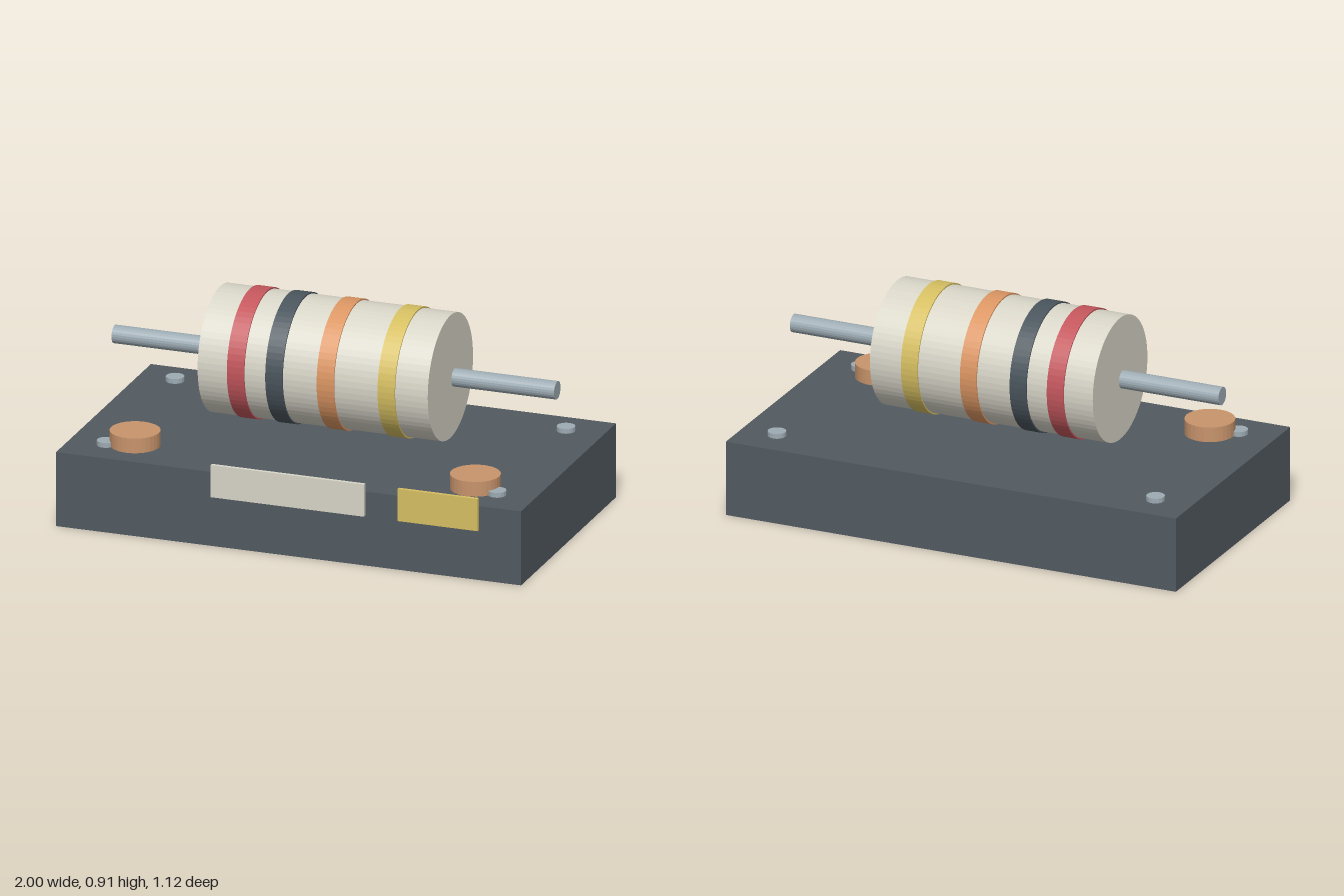
import * as THREE from 'three';

const mat = (name, color) => {
  const m = new THREE.MeshStandardMaterial({ color });
  m.name = name;
  return m;
};

export function createModel() {
  const model = new THREE.Group();
  model.name = 'resistorOnBlock';

  const slate = mat('slate', 0x525a61);
  const cream = mat('cream', 0xd8d5c8);
  const red = mat('red', 0xc4575d);
  const charcoal = mat('charcoal', 0x4a555d);
  const orange = mat('orange', 0xdc9663);
  const gold = mat('gold', 0xd6bf62);
  const copper = mat('copper', 0xc8946c);
  const steel = mat('steel', 0x9dabb3);

  const add = (name, geometry, material, x, y, z) => {
    const mesh = new THREE.Mesh(geometry, material);
    mesh.name = name;
    mesh.position.set(x, y, z);
    model.add(mesh);
    return mesh;
  };

  // Faceted cylinder, optionally laid along x
  const cylinder = (radius, length, sides, alongX = false) => {
    const g = new THREE.CylinderGeometry(radius, radius, length, sides).toNonIndexed();
    g.computeVertexNormals();
    return alongX ? g.rotateZ(-Math.PI / 2) : g;
  };

  const top = 0.318, axisY = 0.643, axisZ = -0.008;

  // Base block
  add('base', new THREE.BoxGeometry(2, top, 1.1), slate, 0, top / 2, -0.008);

  // Resistor body with its colour bands
  add('body', cylinder(0.263, 0.99, 64, true), cream, -0.003, axisY, axisZ);
  [['redBand', red, -0.333], ['darkBand', charcoal, -0.168],
    ['orangeBand', orange, 0.053], ['goldBand', gold, 0.315]].forEach(([name, material, x]) =>
    add(name, cylinder(0.269, 0.074, 64, true), material, x, axisY, axisZ));

  // Leads, contact pads and corner bolts, mirrored left and right
  for (const [side, s] of [['left', 1], ['right', -1]]) {
    add(side + 'Lead', cylinder(0.038, 0.442, 24, true), steel, s * 0.731, axisY, axisZ);
    add(side + 'Pad', cylinder(0.103, 0.063, 32), copper, s * 0.732, top + 0.0315, 0.349);
    for (const [end, z] of [['Front', 0.391], ['Back', -0.409]]) {
      add(side + end + 'Bolt', cylinder(0.038, 0.02, 16), steel, s * 0.841, top + 0.01, z);
    }
  }

  // Plates on the front face
  add('labelPlate', new THREE.BoxGeometry(0.66, 0.138, 0.016), cream, 0, 0.284, 0.55);
  add('goldPlate', new THREE.BoxGeometry(0.345, 0.138, 0.016), gold, 0.647, 0.284, 0.55);

  return model;
}
